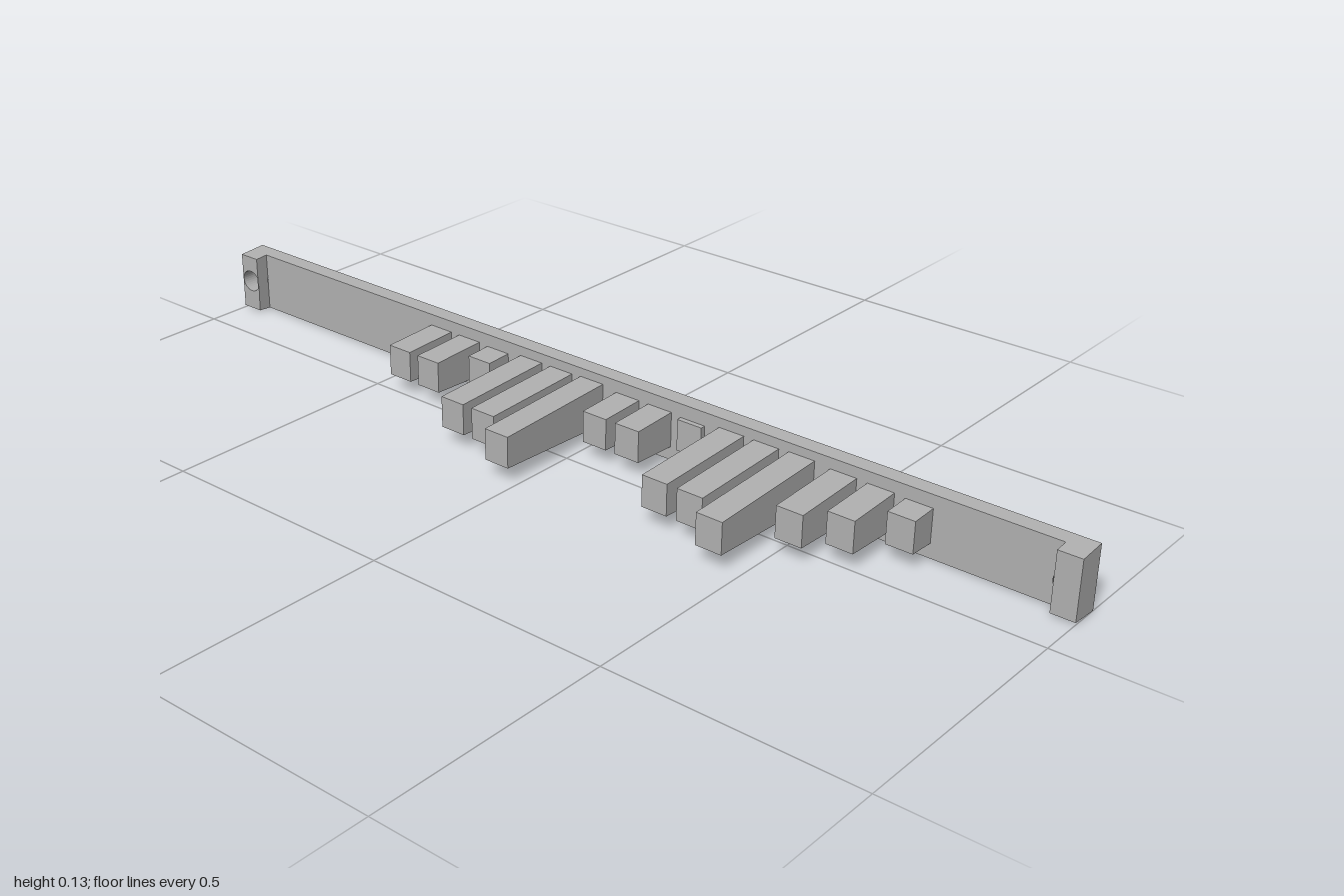
import * as THREE from 'three';

const BACK = -0.149, FACE = -0.118, PAD = -0.09;
const MID_Y = 0.063, PEG_Y = 0.0645;
const HOLE_X = 0.975, HOLE_Y = 0.067, HOLE_R = 0.024;

// Scale the height about midY by a factor that depends on z (moulding draft)
function draft(geo, midY, scaleAt) {
  const p = geo.attributes.position;
  for (let i = 0; i < p.count; i++) {
    p.setY(i, midY + (p.getY(i) - midY) * scaleAt(p.getZ(i)));
  }
  geo.computeVertexNormals();
  return geo;
}

// Rectangular slab with screw holes, extruded between two depths
function slab(x0, x1, z0, z1, holeXs) {
  const s = new THREE.Shape();
  s.moveTo(x0, 0);
  s.lineTo(x1, 0);
  s.lineTo(x1, 0.126);
  s.lineTo(x0, 0.126);
  s.closePath();
  for (const hx of holeXs) {
    const h = new THREE.Path();
    h.absarc(hx, HOLE_Y, HOLE_R, 0, Math.PI * 2, true);
    s.holes.push(h);
  }
  const g = new THREE.ExtrudeGeometry(s, { depth: z1 - z0, bevelEnabled: false, curveSegments: 16 });
  g.translate(0, 0, z0);
  return draft(g, MID_Y, z => 1 - (z - BACK) * 1.1);
}

export function createModel() {
  const group = new THREE.Group();
  const grey = new THREE.MeshStandardMaterial({ color: 0xb0b0b0 });
  grey.name = 'grey';
  const add = (name, geo) => {
    const m = new THREE.Mesh(geo, grey);
    m.name = name;
    group.add(m);
  };

  // Long mounting rail
  add('rail', slab(-1, 1, BACK, FACE, [-HOLE_X, HOLE_X]));

  // Raised pads around the screw holes
  add('leftEndPad', slab(0.953, 1, FACE, PAD, [HOLE_X]));
  add('rightEndPad', slab(-1, -0.953, FACE, PAD, [-HOLE_X]));

  // Five groups of three pegs, each listed by the depth of its tip
  const tips = [
    [0, 0, -0.064],
    [0.103, 0.103, 0.149],
    [-0.022, -0.022, -0.108],
    [0.103, 0.103, 0.149],
    [0.042, 0.002, -0.063],
  ];
  tips.forEach((trio, g) => trio.forEach((tip, i) => {
    const len = tip - FACE;
    const geo = new THREE.BoxGeometry(0.055, 0.063, len);
    geo.translate(-0.433 + g * 0.2405 + i * 0.0765, PEG_Y, FACE + len / 2);
    add(`peg${g * 3 + i + 1}`, draft(geo, PEG_Y, z => 1 + (tip - z) * 1.22));
  }));

  return group;
}
